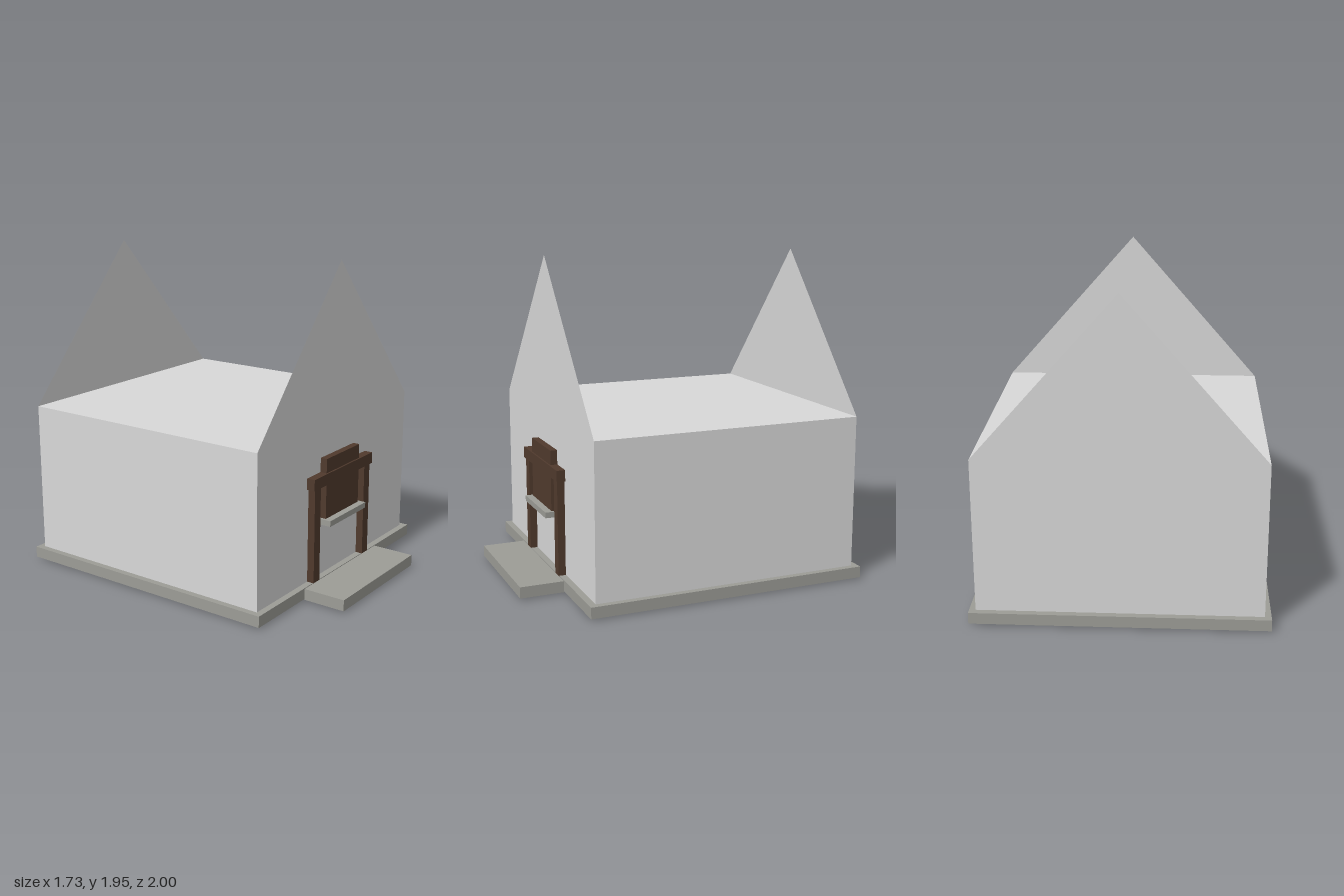
import * as THREE from 'three';

export function createModel() {
  const group = new THREE.Group();
  const mat = (name, color, side = THREE.FrontSide) => {
    const m = new THREE.MeshStandardMaterial({ color, side });
    m.name = name;
    return m;
  };
  const plaster = mat('plaster', 0xd8d8d8, THREE.DoubleSide);
  const stone = mat('stone', 0x9c9c96);
  const wood = mat('dark wood', 0x503a2d);

  // Box given by its extents on each axis
  const box = (name, material, [x0, x1], [y0, y1], [z0, z1]) => {
    const mesh = new THREE.Mesh(new THREE.BoxGeometry(x1 - x0, y1 - y0, z1 - z0), material);
    mesh.position.set((x0 + x1) / 2, (y0 + y1) / 2, (z0 + z1) / 2);
    mesh.name = name;
    group.add(mesh);
  };

  // Stone base and doorstep
  box('plinth', stone, [-0.865, 0.865], [0.012, 0.08], [-1, 0.73]);
  box('doorstep', stone, [-0.41, 0.41], [0.012, 0.08], [0.735, 1]);

  // House body with a flat top, its floor showing just below the plinth
  const W = 0.827, TOP = 1.003, BACK = -0.96, FRONT = 0.69;
  box('walls', plaster, [-W, W], [0.01, TOP], [BACK, FRONT]);

  // Paper-thin gables rising at the front and back
  const triangle = new THREE.Shape([
    new THREE.Vector2(-W, TOP), new THREE.Vector2(W, TOP), new THREE.Vector2(0, 1.945),
  ]);
  for (const [name, z, turn] of [['frontGable', FRONT, 0], ['backGable', BACK, Math.PI]]) {
    const gable = new THREE.Mesh(new THREE.ShapeGeometry(triangle), plaster);
    gable.name = name;
    gable.position.z = z;
    gable.rotation.y = turn;
    group.add(gable);
  }

  // Door frame
  box('leftDoorPost', wood, [0.25, 0.313], [0, 0.657], [FRONT, 0.735]);
  box('rightDoorPost', wood, [-0.313, -0.25], [0, 0.657], [FRONT, 0.735]);
  box('lintel', wood, [-0.33, 0.33], [0.657, 0.725], [FRONT, 0.742]);

  // Window panel and its sill
  box('windowPanel', wood, [-0.185, 0.185], [0.443, 0.812], [FRONT, 0.732]);
  box('windowSill', stone, [-0.204, 0.204], [0.408, 0.443], [FRONT, 0.775]);

  return group;
}
